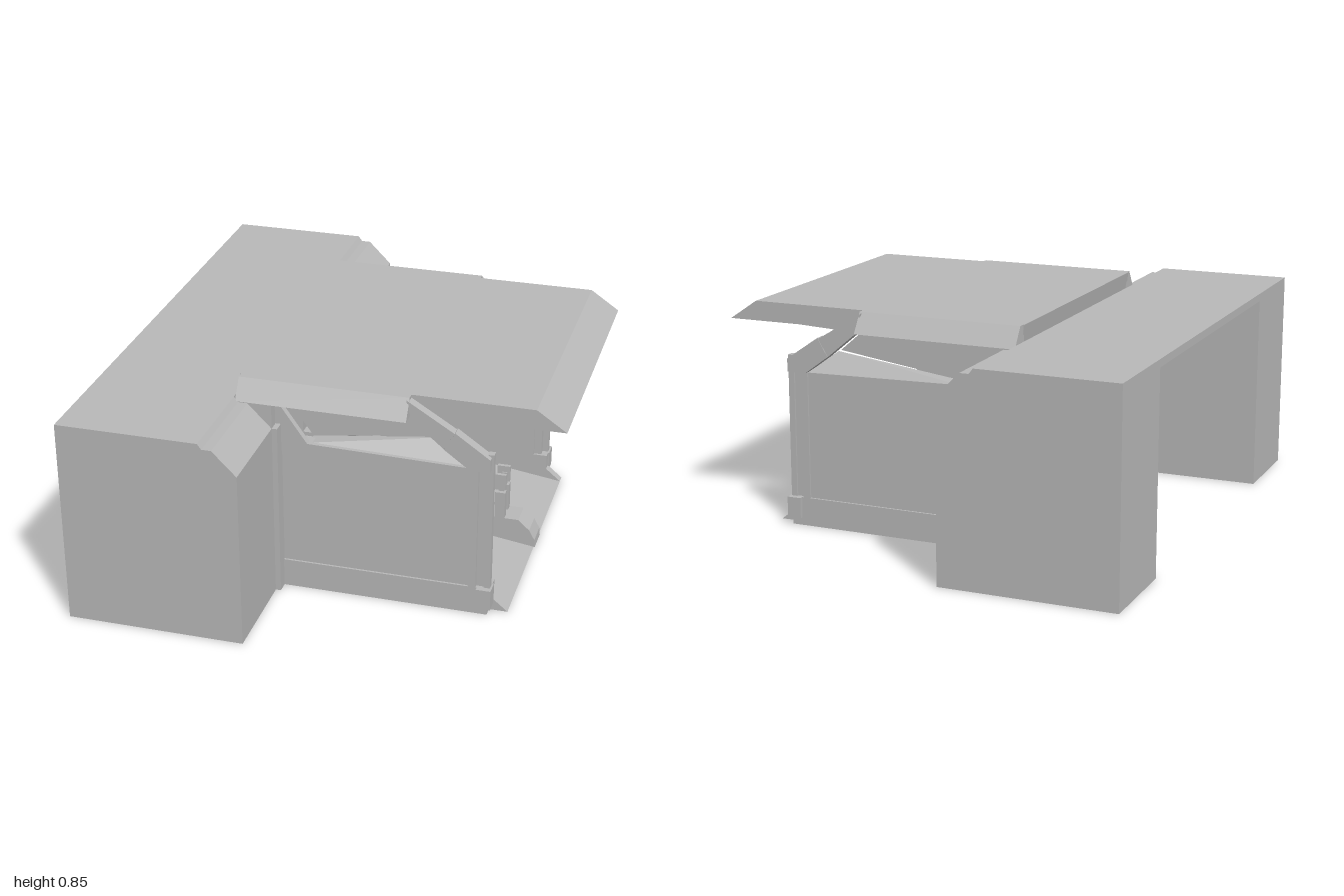
import * as THREE from 'three';

export function createModel() {
  const model = new THREE.Group();
  const grey = new THREE.MeshStandardMaterial({ color: 0xb8b8b8, flatShading: true });
  grey.name = 'concreteGrey';
  const greySheet = new THREE.MeshStandardMaterial({ color: 0xb8b8b8, flatShading: true, side: THREE.DoubleSide });
  greySheet.name = 'concreteGreySheet';

  const add = (name, geometry, material = grey) => {
    const mesh = new THREE.Mesh(geometry, material);
    mesh.name = name;
    model.add(mesh);
  };
  const box = (name, x0, x1, y0, y1, z0, z1) => add(name, new THREE.BoxGeometry(x1 - x0, y1 - y0, Math.abs(z1 - z0))
    .translate((x0 + x1) / 2, (y0 + y1) / 2, (z0 + z1) / 2));
  const extrude = (points, depth) => new THREE.ExtrudeGeometry(
    new THREE.Shape(points.map(p => new THREE.Vector2(...p))), { depth, bevelEnabled: false });
  // Side profile (x, y) swept across z
  const acrossZ = (name, points, z0, z1) =>
    add(name, extrude(points, Math.abs(z1 - z0)).translate(0, 0, Math.min(z0, z1)));
  // End profile (z, y) swept along x
  const alongX = (name, points, x0, x1) =>
    add(name, extrude(points.map(([z, y]) => [-z, y]), x1 - x0).rotateY(Math.PI / 2).translate(x0, 0, 0));
  // Flat polygon from corners, drawn on both sides
  const sheet = (name, corners) => {
    const g = new THREE.BufferGeometry();
    const p = [];
    for (let i = 1; i < corners.length - 1; i++) p.push(...corners[0], ...corners[i], ...corners[i + 1]);
    g.setAttribute('position', new THREE.Float32BufferAttribute(p, 3));
    g.computeVertexNormals();
    add(name, g, greySheet);
  };

  // Rear bar: two end blocks bridged by a thin beam
  const blockProfile = [[-0.87, 0], [-0.2, 0], [-0.2, 0.68], [-0.29, 0.77], [-0.325, 0.77], [-0.34, 0.79], [-0.87, 0.79]];
  for (const s of [1, -1]) acrossZ('endBlock', blockProfile, s * 0.62, s);
  box('bridgeBeam', -0.87, -0.34, 0.76, 0.79, -0.62, 0.62);

  // Roof slab, its sloping ceiling and the slanted eaves
  acrossZ('roof', [[-0.33, 0.775], [0.86, 0.775], [0.75, 0.85], [-0.34, 0.85]], -0.55, 0.55);
  acrossZ('ceiling', [[-0.2, 0.775], [0.86, 0.775], [-0.1, 0.73], [-0.2, 0.73]], -0.5, 0.5);

  // Bay floor with ramp, and the back wall
  acrossZ('ramp', [[-0.2, 0], [0.67, 0], [-0.1, 0.11], [-0.2, 0.11]], -0.5, 0.5);
  box('backWall', -0.2, -0.12, 0, 0.775, -0.5, 0.5);
  box('backWallDivider', -0.12, -0.06, 0.11, 0.61, -0.02, 0.02);
  box('backWallLintel', -0.12, -0.06, 0.605, 0.62, -0.5, 0.5);

  for (const s of [1, -1]) {
    alongX('eave', [[s * 0.54, 0.775], [s * 0.625, 0.775], [s * 0.575, 0.85], [s * 0.54, 0.85]], -0.335, 0.3);

    // Side wall: base beam, panel and edge trims
    box('wallBase', -0.2, 0.6, 0, 0.11, s * 0.5, s * 0.575);
    box('wallPanel', -0.2, 0.53, 0.11, 0.6, s * 0.5, s * 0.567);
    acrossZ('wallTopTrim', [[-0.2, 0.57], [-0.08, 0.575], [0.53, 0.6], [-0.08, 0.612], [-0.2, 0.612]], s * 0.52, s * 0.575);
    box('wallRearPost', -0.34, -0.2, 0, 0.775, s * 0.58, s * 0.62);
    box('wallRearReturn', -0.2, -0.18, 0, 0.68, s * 0.5, s * 0.62);

    // Front pillar with its foot
    box('pillar', 0.525, 0.555, 0.11, 0.62, s * 0.5, s * 0.575);
    box('pillarCore', 0.555, 0.585, 0.11, 0.62, s * 0.51, s * 0.56);
    box('pillarFace', 0.585, 0.608, 0.11, 0.66, s * 0.54, s * 0.568);
    acrossZ('pillarFoot', [[0.55, 0], [0.67, 0], [0.61, 0.05], [0.61, 0.11], [0.55, 0.11]], s * 0.5, s * 0.535);
    box('pillarShoe', 0.56, 0.615, 0.03, 0.11, s * 0.53, s * 0.59);

    // Braces holding the roof
    acrossZ('frontBrace', [[0.29, 0.845], [0.31, 0.77], [0.43, 0.67], [0.47, 0.735]], s * 0.55, s * 0.588);
    acrossZ('kneeBrace', [[0.43, 0.67], [0.525, 0.6], [0.6, 0.6], [0.6, 0.65], [0.47, 0.74]], s * 0.548, s * 0.59);
    acrossZ('rearBrace', [[-0.33, 0.775], [-0.2, 0.61], [-0.08, 0.61], [-0.2, 0.78]], s * 0.55, s * 0.575);

    // Recessed upper panel and sloping sill
    sheet('upperPanel', [[-0.2, 0.775, s * 0.5], [-0.08, 0.61, s * 0.5], [0.42, 0.68, s * 0.5], [0.31, 0.775, s * 0.5]]);
    sheet('upperSill', [[-0.08, 0.61, s * 0.56], [0.53, 0.6, s * 0.56], [0.43, 0.675, s * 0.5]]);
    sheet('upperSillBack', [[-0.08, 0.61, s * 0.56], [0.43, 0.675, s * 0.5], [-0.08, 0.61, s * 0.5]]);

    // Door panel: raised frustum, octagonal recess, raised boss
    add('doorPanel', panelGeometry(s * 0.265));
  }

  // Central floor ridge with a rounded nose, and its control posts
  acrossZ('floorRidge', [[-0.1, 0], [0.675, 0], [0.672, 0.03], [0.65, 0.07], [0.605, 0.11], [-0.1, 0.11]], -0.05, 0.05);
  for (const s of [1, -1]) {
    box('controlPost', 0.51, 0.55, 0.11, 0.22, s * 0.02, s * 0.05);
    box('controlArm', 0.52, 0.54, 0.22, 0.27, s * 0.025, s * 0.035);
    box('controlScreen', 0.5, 0.55, 0.23, 0.295, s * 0.03, s * 0.045);
  }
  return model;
}

// Nested chamfered rectangles joined in steps and capped, facing +x
function panelGeometry(zc) {
  const rings = [ // x, half width, half height, chamfer
    [-0.12, 0.222, 0.23, 0.008], [-0.1, 0.222, 0.23, 0.008], [-0.03, 0.16, 0.185, 0.008],
    [-0.03, 0.15, 0.115, 0.055], [-0.09, 0.105, 0.065, 0.035], [-0.05, 0.06, 0.035, 0.02],
  ].map(([x, w, h, c]) => [
    [w, c - h], [w, h - c], [w - c, h], [c - w, h], [-w, h - c], [-w, c - h], [c - w, -h], [w - c, -h],
  ].map(([r, y]) => [x, 0.36 + y, zc - r]));
  const p = [];
  for (let i = 0; i < rings.length - 1; i++) {
    for (let j = 0; j < 8; j++) {
      const k = (j + 1) % 8;
      const [a, b, c, d] = [rings[i][j], rings[i][k], rings[i + 1][k], rings[i + 1][j]];
      p.push(...a, ...b, ...c, ...a, ...c, ...d);
    }
  }
  const cap = rings[rings.length - 1];
  for (let j = 1; j < 7; j++) p.push(...cap[0], ...cap[j], ...cap[j + 1]);
  const g = new THREE.BufferGeometry();
  g.setAttribute('position', new THREE.Float32BufferAttribute(p, 3));
  g.computeVertexNormals();
  return g;
}
